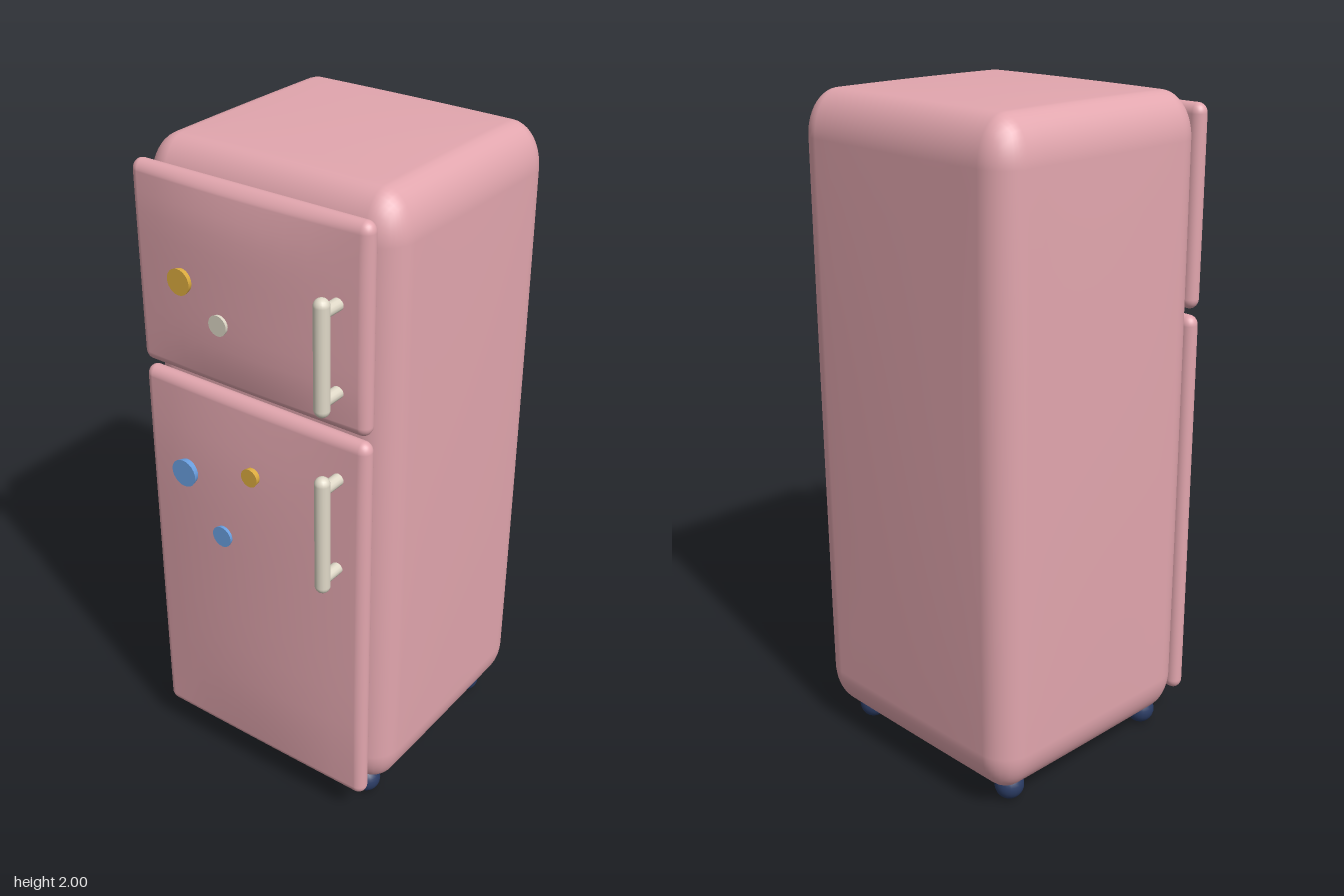
import * as THREE from 'three';
import { mergeVertices } from 'three/addons/utils/BufferGeometryUtils.js';

const mat = (name, color) => {
  const m = new THREE.MeshStandardMaterial({ color });
  m.name = name;
  return m;
};

// Soft box: rounded by elliptical radii r, then swollen by rule(point, unit position)
function softBox(half, r, swell) {
  const N = 20, K = 5, flat = N / 2 - K;
  const g = new THREE.BoxGeometry(2, 2, 2, N, N, N);
  g.deleteAttribute('uv');
  g.deleteAttribute('normal');
  const p = g.attributes.position;
  for (let i = 0; i < p.count; i++) {
    const inner = [], off = [];
    [p.getX(i), p.getY(i), p.getZ(i)].forEach((v, a) => {
      // the outer K grid steps form the rounded edge, the rest the flat face
      const s = Math.sign(v), steps = Math.abs(v) * N / 2;
      inner[a] = s * (half[a] - r[a]) * Math.min(1, steps / flat);
      off[a] = s * Math.tan(Math.max(0, (steps - flat) / K) * Math.PI / 4);
    });
    const len = Math.hypot(...off);
    const q = inner.map((v, a) => v + off[a] / len * r[a]);
    const u = q.map((v, a) => v / half[a]);
    p.setXYZ(i, ...swell(q, u));
  }
  const out = mergeVertices(g, 1e-5);
  out.computeVertexNormals();
  return out;
}

export function createModel() {
  const pink = mat('pink enamel', 0xe2a6ae);
  const cream = mat('cream', 0xe0d9c8);
  const navy = mat('navy', 0x2b3c64);
  const ochre = mat('ochre', 0xdfae40);
  const blue = mat('blue', 0x6ca2e4);
  const coral = mat('coral seal', 0xe0705a);

  const root = new THREE.Group();
  root.name = 'refrigerator';
  const add = (name, geo, material, x, y, z, parent = root) => {
    const m = new THREE.Mesh(geo, material);
    m.name = name;
    m.position.set(x, y, z);
    parent.add(m);
    return m;
  };

  // Cabinet with slightly swollen faces
  const bulge = [0.01, 0.008, 0.01];
  const cabinet = softBox([0.413, 0.962, 0.385], [0.09, 0.13, 0.09], (q, u) =>
    q.map((v, a) => v + bulge[a] * u[a] *
      (1 - u[(a + 1) % 3] ** 2) * (1 - u[(a + 2) % 3] ** 2)));
  add('cabinet', cabinet, pink, 0, 1.03, -0.075);

  // Doors with a domed front, a seal behind, and a bar handle
  const doors = [
    { name: 'freezer', bottom: 1.36, top: 1.95, low: 1.44, high: 1.77 },
    { name: 'fridge', bottom: 0.10, top: 1.34, low: 0.89, high: 1.26 },
  ];
  for (const d of doors) {
    const h = d.top - d.bottom, cy = (d.top + d.bottom) / 2;
    const door = softBox([0.385, h / 2, 0.026], [0.028, 0.03, 0.026], (q, u) => [
      q[0], q[1],
      q[2] + 0.028 * Math.max(0, u[2]) * (1 - u[0] ** 2) * (1 - u[1] ** 4),
    ]);
    add(d.name + 'Door', door, pink, 0, cy, 0.346);
    add(d.name + 'Seal', new THREE.BoxGeometry(0.69, h - 0.09, 0.03), coral, 0, cy, 0.315);

    const handle = new THREE.Group();
    handle.name = d.name + 'Handle';
    root.add(handle);
    const barR = 0.022;
    add('handleBar', new THREE.CapsuleGeometry(barR, d.high - d.low - 2 * barR, 6, 16),
      cream, 0.3, (d.low + d.high) / 2, 0.447, handle);
    for (const y of [d.low + 0.042, d.high - 0.042]) {
      const post = add('handlePost', new THREE.CylinderGeometry(0.018, 0.018, 0.08, 14),
        cream, 0.3, y, 0.407, handle);
      post.rotation.x = Math.PI / 2;
    }
  }

  // Round magnets, slightly wider at the front
  const magnets = [
    [-0.2, 1.66, 0.038, ochre], [-0.07, 1.57, 0.03, cream],
    [-0.223, 1.055, 0.043, blue], [0.02, 1.13, 0.028, ochre], [-0.09, 0.888, 0.033, blue],
  ];
  for (const [x, y, r, m] of magnets) {
    const magnet = add('magnet', new THREE.CylinderGeometry(r, r * 0.85, 0.025, 24), m, x, y, 0.3975);
    magnet.rotation.x = Math.PI / 2;
  }

  // Ball feet
  const ball = new THREE.SphereGeometry(0.044, 20, 14);
  for (const x of [-0.313, 0.313])
    for (const z of [-0.345, 0.24]) add('foot', ball, navy, x, 0.044, z);

  return root;
}
